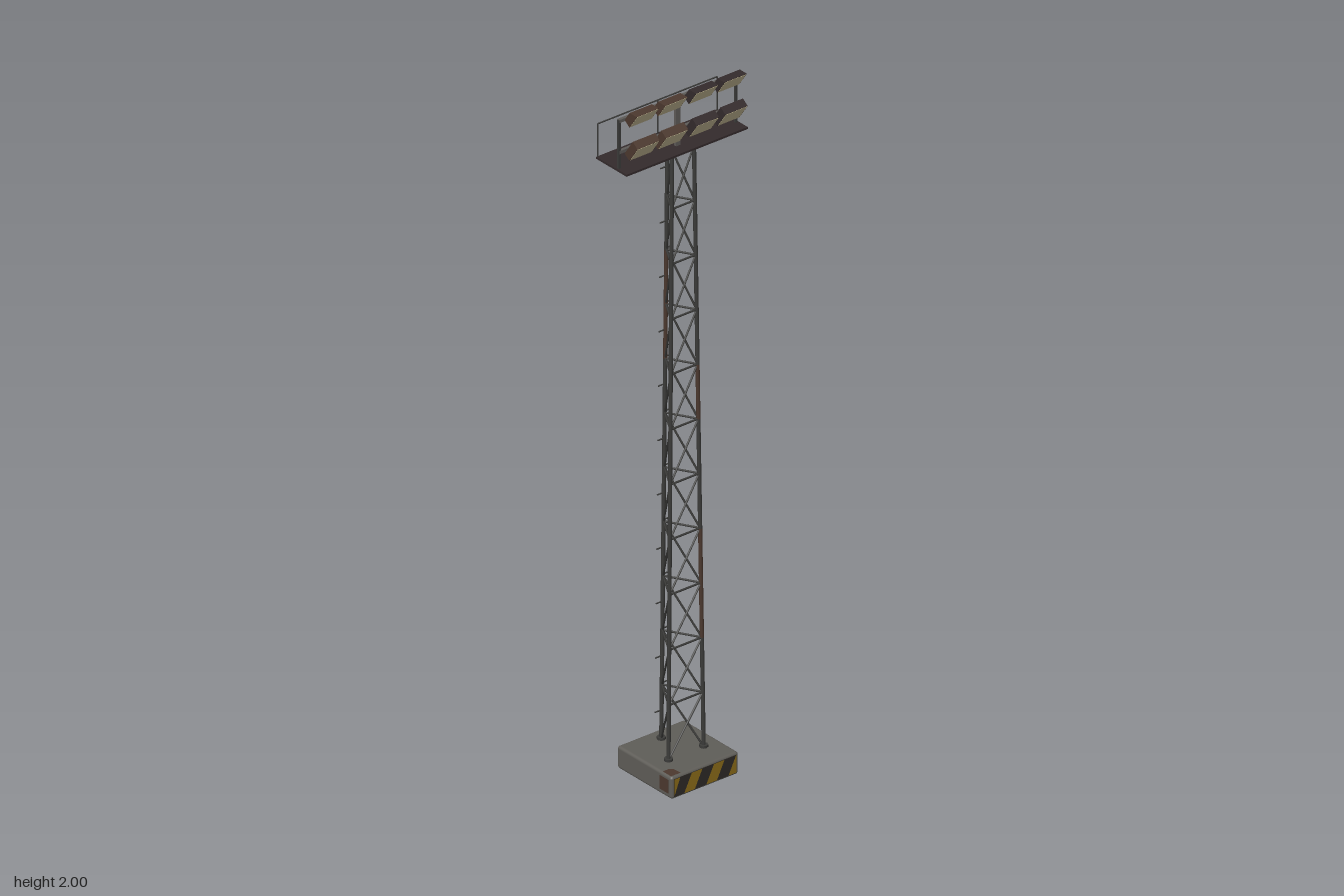
import * as THREE from 'three';
import { RoundedBoxGeometry } from 'three/addons/geometries/RoundedBoxGeometry.js';

const mat = (name, color) => {
  const m = new THREE.MeshStandardMaterial({ color });
  m.name = name;
  return m;
};

export function createModel() {
  const concrete = mat('concrete', 0x5f5d58);
  const steel = mat('weathered steel', 0x3c3c3a);
  const paleSteel = mat('pale steel', 0x5e5b58);
  const darkMetal = mat('dark metal', 0x342b2c);
  const rust = mat('rust', 0x4c392f);
  const black = mat('hazard black', 0x2e2a26);
  const yellow = mat('hazard yellow', 0x8c6c18);
  const glass = mat('lamp glass', 0xc8bb96);

  const model = new THREE.Group();
  const V = (x, y, z) => new THREE.Vector3(x, y, z);

  const add = (name, geo, material, parent = model) => {
    const mesh = new THREE.Mesh(geo, material);
    mesh.name = name;
    parent.add(mesh);
    return mesh;
  };
  const group = (name) => {
    const g = new THREE.Group();
    g.name = name;
    model.add(g);
    return g;
  };
  const box = (name, size, pos, material, parent) => {
    const mesh = add(name, new THREE.BoxGeometry(...size), material, parent);
    mesh.position.set(...pos);
    return mesh;
  };
  const polygon = (points) => new THREE.Shape(points.map(([x, y]) => new THREE.Vector2(x, y)));
  // Round bar between two points
  const bar = (name, a, b, radius, material, parent, sides = 6) => {
    const d = b.clone().sub(a);
    const mesh = add(name, new THREE.CylinderGeometry(radius, radius, d.length(), sides), material, parent);
    mesh.position.copy(a).add(b).multiplyScalar(0.5);
    mesh.quaternion.setFromUnitVectors(V(0, 1, 0), d.normalize());
    return mesh;
  };

  // Concrete base
  add('base', new RoundedBoxGeometry(0.222, 0.065, 0.222, 2, 0.008), concrete).position.y = 0.0325;
  const stain = polygon([[-0.107, -0.104], [-0.075, -0.104], [-0.077, -0.08], [-0.085, -0.07], [-0.107, -0.07]]);
  const stainTop = add('rustStainTop', new THREE.ShapeGeometry(stain), rust);
  stainTop.rotation.x = -Math.PI / 2;
  stainTop.position.y = 0.0656;
  box('rustStainSide', [0.001, 0.04, 0.035], [-0.111, 0.034, 0.08], rust);

  // Hazard panel on the front of the base
  const hazard = group('hazardPanel');
  box('hazardBacking', [0.206, 0.052, 0.002], [0, 0.0325, 0.1105], black, hazard);
  const inPanel = (x) => THREE.MathUtils.clamp(x, -0.103, 0.103);
  for (let i = -1; i < 3; i++) {
    const x = -0.07 + i * 0.073;
    const stripe = polygon([[inPanel(x), 0.007], [inPanel(x + 0.035), 0.007],
      [inPanel(x + 0.06), 0.058], [inPanel(x + 0.025), 0.058]]);
    add('hazardStripe', new THREE.ShapeGeometry(stripe), yellow, hazard).position.z = 0.112;
  }

  // Tapering three-legged lattice mast, apex at the back
  const mast = group('mast');
  const y0 = 0.065, bay = 0.16, bays = 11;
  const legPoint = (i, y) => {
    const r = THREE.MathUtils.lerp(0.067, 0.042, (y - y0) / (bay * bays));
    const a = Math.PI / 6 + i * Math.PI * 2 / 3;
    return V(r * Math.cos(a), y, r * Math.sin(a));
  };
  const rustyBays = [[2, 3, 6], [], [7, 8]];
  for (let i = 0; i < 3; i++) {
    const j = (i + 1) % 3;
    const foot = add('footPlate', new THREE.CylinderGeometry(0.012, 0.012, 0.008, 8), steel, mast);
    foot.position.copy(legPoint(i, y0 + 0.003));
    for (let k = 0; k < bays; k++) {
      const lo = y0 + k * bay, hi = lo + bay;
      const legMat = rustyBays[i].includes(k) ? rust : steel;
      bar('mastLeg', legPoint(i, lo), legPoint(i, hi), 0.0055, legMat, mast, 8);
      bar('diagonalBrace', legPoint(j, lo), legPoint(i, hi), 0.0028, steel, mast);
      bar('horizontalBrace', legPoint(i, hi), legPoint(j, hi), 0.0028, steel, mast);
    }
  }

  // Climbing pegs alternating along the back leg
  for (let k = 0; k < 21; k++) {
    const p = legPoint(2, 0.15 + k * 0.08);
    const tip = p.clone().add(V(k % 2 ? 0.022 : -0.022, 0, 0));
    bar('climbingPeg', p, tip, 0.002, steel, mast);
  }

  // Platform and back railing
  box('platform', [0.4, 0.006, 0.123], [0, 1.826, -0.0235], darkMetal);
  const railing = group('railing');
  for (const x of [-0.197, 0, 0.197])
    bar('railPost', V(x, 1.827, -0.082), V(x, 1.926, -0.082), 0.002, steel, railing);
  bar('handrail', V(-0.197, 1.926, -0.082), V(0.197, 1.926, -0.082), 0.002, steel, railing);

  // Frame carrying the lamps
  const frame = group('lampFrame');
  box('centrePost', [0.014, 0.14, 0.008], [0, 1.899, -0.002], paleSteel, frame);
  for (const s of [-1, 1])
    box('endPost', [0.007, 0.145, 0.007], [s * 0.193, 1.898, -0.002], steel, frame);
  for (const y of [1.876, 1.967])
    box('crossbar', [0.388, 0.009, 0.009], [0, y, -0.002], paleSteel, frame);

  // Two rows of tilted floodlights; side profiles run [z, y] from front bottom,
  // front top, back top to back bottom. The upper row has flat tops.
  const rows = [
    { barY: 1.876, profile: [[0.028, 1.86], [0.061, 1.907], [0.042, 1.921], [0.009, 1.873]] },
    { barY: 1.967, profile: [[0.028, 1.957], [0.058, 2], [0.029, 2], [0.009, 1.971]] },
  ];
  const width = 0.074;
  for (const { barY, profile } of rows) {
    const housing = new THREE.ExtrudeGeometry(polygon(profile), { depth: width, bevelEnabled: false });
    housing.rotateY(-Math.PI / 2).translate(width / 2, 0, 0);
    const [[zb, yb], [zt, yt]] = profile;
    const faceHeight = Math.hypot(zt - zb, yt - yb);
    for (const x of [-0.146, -0.052, 0.05, 0.144]) {
      const lamp = group('floodlight');
      lamp.position.x = x;
      add('lampHousing', housing, x < 0 ? rust : darkMetal, lamp);
      const pane = box('lampGlass', [width - 0.004, faceHeight - 0.003, 0.0015],
        [0, (yb + yt) / 2, (zb + zt) / 2], glass, lamp);
      pane.rotation.x = Math.atan2(zt - zb, yt - yb);
      bar('lampBracket', V(x, barY, 0), V(x, barY + 0.016, 0.022), 0.003, steel, frame);
    }
  }
  return model;
}
